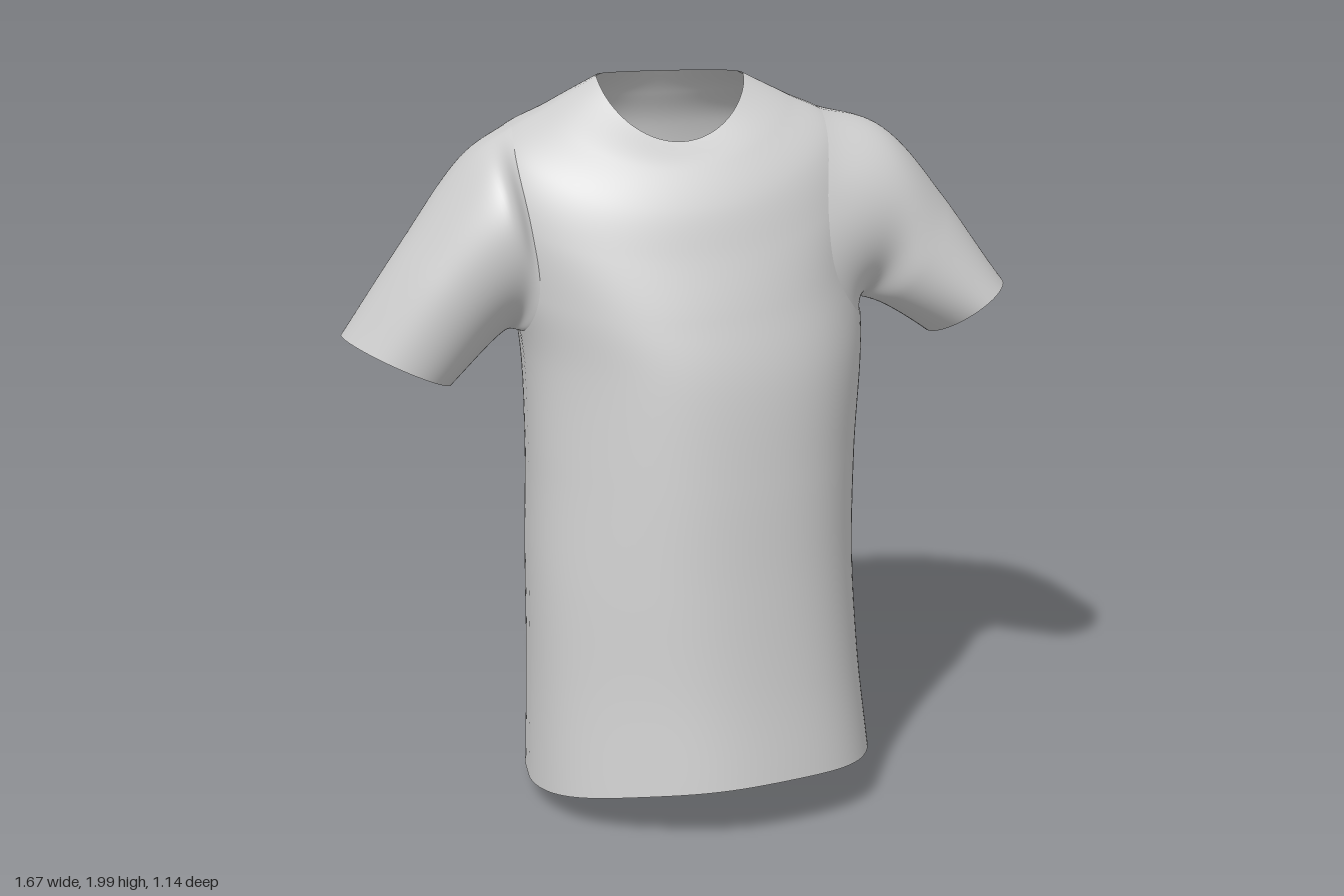
import * as THREE from 'three';

const SEG = 120;
const material = new THREE.MeshStandardMaterial({ color: 0xcccccc, side: THREE.DoubleSide });

// Smooth interpolation through rows of numbers, t from 0 to 1
function sampleRows(rows, t) {
  const last = rows.length - 1;
  const k = Math.min(Math.floor(t * last), last - 1);
  const f = t * last - k;
  const p1 = rows[k], p2 = rows[k + 1];
  const p0 = rows[k - 1] || p1.map((v, i) => 2 * v - p2[i]);
  const p3 = rows[k + 2] || p2.map((v, i) => 2 * v - p1[i]);
  return p1.map((v, i) => {
    const m1 = (p2[i] - p0[i]) / 2, m2 = (p3[i] - v) / 2, d = p2[i] - v;
    return v + f * (m1 + f * (3 * d - 2 * m1 - m2 + f * (m1 + m2 - 2 * d)));
  });
}

// Open tube of closed rings; point(angle, t) gives [x, y, z], isHole(angle, t) leaves gaps
function loft(name, steps, point, isHole = () => false) {
  const positions = [], index = [];
  const turn = (Math.PI * 2) / SEG;
  for (let i = 0; i <= steps; i++) {
    for (let j = 0; j < SEG; j++) {
      positions.push(...point(j * turn, i / steps));
      if (i === steps || isHole((j + 0.5) * turn, (i + 0.5) / steps)) continue;
      const a = i * SEG + j, b = i * SEG + (j + 1) % SEG;
      index.push(a, b, a + SEG, b, b + SEG, a + SEG);
    }
  }
  const geometry = new THREE.BufferGeometry();
  geometry.setAttribute('position', new THREE.Float32BufferAttribute(positions, 3));
  geometry.setIndex(index);
  geometry.computeVertexNormals();
  const mesh = new THREE.Mesh(geometry, material);
  mesh.name = name;
  return mesh;
}

// Torso rings from collar to hem: centre x, centre z, half width, front depth, back depth,
// back roundness (1 is an ellipse, less is flatter), height at front, side, back, sideways tilt
const torsoRows = [
  [-0.015, -0.06, 0.20, 0.19, 0.19, 1.0, 1.84, 1.99, 1.97, 0],
  [-0.02, -0.06, 0.33, 0.255, 0.25, 0.75, 1.78, 1.92, 1.90, 0.02],
  [-0.025, -0.06, 0.46, 0.315, 0.31, 0.5, 1.68, 1.845, 1.80, 0.03],
  [-0.025, -0.05, 0.51, 0.355, 0.345, 0.38, 1.55, 1.71, 1.64, 0.03],
  [-0.02, -0.02, 0.49, 0.385, 0.365, 0.4, 1.40, 1.50, 1.45, 0.03],
  [-0.005, 0.02, 0.47, 0.405, 0.38, 0.45, 1.23, 1.27, 1.25, 0],
  [-0.03, 0.05, 0.455, 0.405, 0.38, 0.5, 0.97, 0.97, 0.97, 0],
  [-0.057, 0.08, 0.455, 0.40, 0.38, 0.5, 0.68, 0.67, 0.66, 0],
  [-0.068, 0.11, 0.465, 0.405, 0.35, 0.5, 0.40, 0.36, 0.33, 0.03],
  [-0.075, 0.14, 0.485, 0.42, 0.32, 0.5, 0.155, 0.075, 0.0, 0.057],
];

// The body is turned about the vertical axis
const TURN = Math.PI / 6, UX = Math.cos(TURN), UZ = Math.sin(TURN);

function torsoPoint(angle, t) {
  const [cx, cz, w, dFront, dBack, round, yFront, ySide, yBack, tilt] = sampleRows(torsoRows, t);
  const c = Math.cos(angle), s = Math.sin(angle), a = Math.abs(s);
  // hollow along the spine, and soft folds that grow towards the hem
  const spine = 1 - 0.15 * Math.exp(-((c / 0.35) ** 2)) * Math.sin(Math.PI * t);
  const fold = 1 + 0.008 * t * Math.sin(7 * angle + 3 * t);
  const u = w * c * fold;
  const f = fold * (s > 0 ? dFront * a ** 0.95 : -dBack * a ** round * spine);
  const y = ySide + ((s > 0 ? yFront : yBack) - ySide) * a ** 1.3 + tilt * u;
  return [cx + u * UX - f * UZ, y, cz + u * UZ + f * UX];
}

// Armholes are ovals on the torso surface, one at each side
const ARM = { t: 0.36, halfT: 0.165, halfAngle: 0.65 };

function inArmhole(angle, t) {
  const side = angle - Math.PI * Math.round(angle / Math.PI);
  return Math.hypot(side / ARM.halfAngle, (t - ARM.t) / ARM.halfT) < 1;
}

// Sleeve rings from shoulder to cuff: centre, top axis, front/back axis
const leftSleeveRows = [
  [0.475, 1.59, 0.19, 0.055, 0.235, -0.01, -0.08, 0.02, 0.21],
  [0.57, 1.49, 0.27, 0.115, 0.14, -0.02, -0.06, 0.03, 0.185],
  [0.70, 1.32, 0.37, 0.12, 0.05, -0.03, -0.04, 0.06, 0.165],
];
const rightSleeveRows = [
  [-0.48, 1.55, -0.28, -0.045, 0.24, 0, 0.06, 0, -0.235],
  [-0.575, 1.42, -0.33, -0.11, 0.135, -0.03, 0.06, 0, -0.205],
  [-0.71, 1.24, -0.385, -0.12, 0.065, -0.07, 0.05, 0, -0.165],
];

// Each sleeve grows out of the rim of its armhole
function sleeve(name, rows, sideAngle) {
  return loft(name, 36, (angle, t) => {
    const c = Math.cos(angle), s = Math.sin(angle);
    const rim = torsoPoint(sideAngle + 1.05 * ARM.halfAngle * s, ARM.t - 1.05 * ARM.halfT * c);
    const rings = rows.map((r) => [0, 1, 2].map((k) => r[k] + r[k + 3] * c + r[k + 6] * s));
    return sampleRows([rim, ...rings], t);
  });
}

export function createModel() {
  const shirt = new THREE.Group();
  shirt.name = 'shirt';
  shirt.add(
    loft('torso', 120, torsoPoint, inArmhole),
    sleeve('leftSleeve', leftSleeveRows, 0),
    sleeve('rightSleeve', rightSleeveRows, Math.PI),
  );
  return shirt;
}
